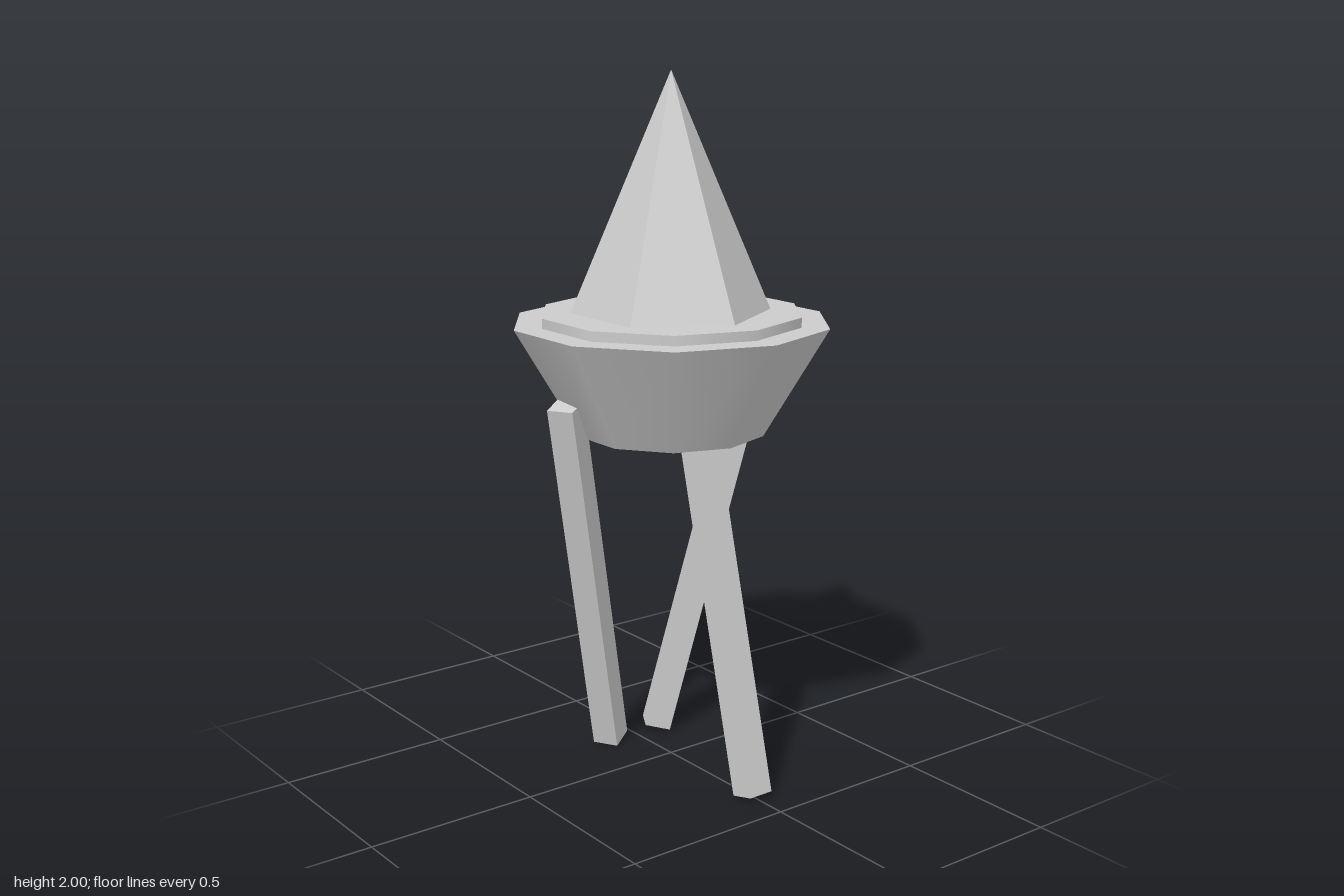
import * as THREE from 'three';

const smooth = new THREE.MeshStandardMaterial({ color: 0xcccccc });
const flat = new THREE.MeshStandardMaterial({ color: 0xcccccc, flatShading: true });

// Upright prism or frustum with a corner on the +x axis
function frustum(name, rTop, rBottom, y0, y1, sides, material) {
  const geometry = new THREE.CylinderGeometry(rTop, rBottom, y1 - y0, sides, 1, false, Math.PI / 2);
  const mesh = new THREE.Mesh(geometry, material);
  mesh.name = name;
  mesh.position.y = (y0 + y1) / 2;
  return mesh;
}

export function createModel() {
  const model = new THREE.Group();
  model.name = 'tripodTower';

  // Ten-sided bowl with a thin raised disc on top
  model.add(frustum('bowl', 0.455, 0.27, 0.992, 1.307, 10, smooth));
  model.add(frustum('disc', 0.375, 0.375, 1.295, 1.335, 10, smooth));

  // Six-sided pointed roof
  const roof = new THREE.Mesh(new THREE.ConeGeometry(0.283, 0.665, 6, 1, false, Math.PI / 2), flat);
  roof.name = 'roof';
  roof.position.y = 1.335 + 0.665 / 2;
  model.add(roof);

  // Three square legs on a circle; the lean turns opposite to the placement
  const legGeometry = new THREE.BoxGeometry(0.077, 1.124, 0.077);
  for (let i = 0; i < 3; i++) {
    const a = (i * Math.PI * 2) / 3;
    const leg = new THREE.Mesh(legGeometry, flat);
    leg.name = `leg${i + 1}`;
    leg.position.set(0.239 * Math.cos(a), 0.554, 0.239 * Math.sin(a));
    leg.rotation.set(0, a, 0.25);
    model.add(leg);
  }

  return model;
}
